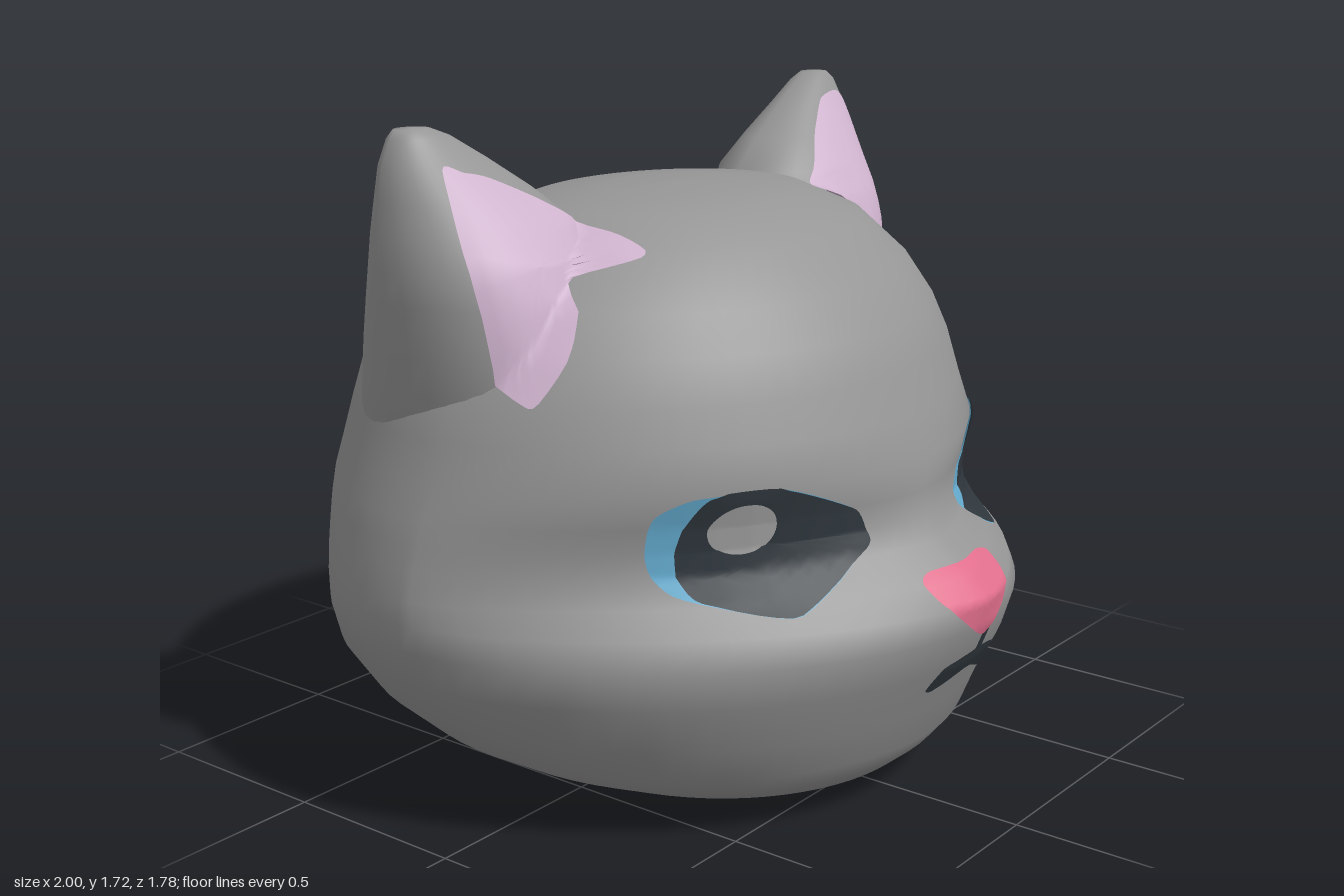
import * as THREE from 'three';

const flat = (name, color, side = THREE.FrontSide) => {
  const m = new THREE.MeshStandardMaterial({ color, side });
  m.name = name;
  return m;
};

// Closed loft of superellipse sections: [y, halfWidth, frontZ, backZ, centreZ, frontPower]
function loft(rows, { cx = () => 0, skew = 0, backPower = 2.05, seg = 72 } = {}) {
  const pos = [], idx = [];
  rows.forEach(([y, w, zf, zb, zc, p], i) => {
    for (let j = 0; j < seg; j++) {
      const a = (j / seg) * Math.PI * 2, c = Math.cos(a), s = Math.sin(a);
      const e = 2 / (s >= 0 ? p : backPower);
      const x = w * Math.sign(c) * Math.abs(c) ** e;
      const z = zc + (s >= 0 ? zf - zc : zb - zc) * Math.abs(s) ** e;
      pos.push(cx(i) + x, y, z + skew * x);
      if (i < rows.length - 1) {
        const k = (j + 1) % seg, A = i * seg + j, B = i * seg + k;
        idx.push(A, A + seg, B, B, A + seg, B + seg);
      }
    }
  });
  const g = new THREE.BufferGeometry();
  g.setAttribute('position', new THREE.Float32BufferAttribute(pos, 3));
  g.setIndex(idx);
  g.computeVertexNormals();
  return g;
}

// Thin patch with the given front outline, laid on the target surfaces
function patch(outline, targets, lift, tension = 0.3) {
  const pts = new THREE.CatmullRomCurve3(outline.map(([x, y]) => new THREE.Vector3(x, y, 0)),
    true, 'catmullrom', tension).getPoints(56).slice(0, -1);
  const mid = new THREE.Vector3();
  outline.forEach(([x, y]) => mid.add(new THREE.Vector3(x, y, 0)));
  mid.divideScalar(outline.length);
  const ray = new THREE.Raycaster(), dir = new THREE.Vector3(0, 0, -1);
  const pos = [], idx = [], rings = 8, n = pts.length;
  let last = new THREE.Vector3();
  for (let r = 0; r <= rings; r++) {
    for (let j = 0; j < n; j++) {
      const q = mid.clone().lerp(pts[j], r / rings);
      ray.set(new THREE.Vector3(q.x, q.y, 3), dir);
      const hit = ray.intersectObjects(targets)[0];
      if (hit) last = hit.point.clone().addScaledVector(hit.face.normal, lift);
      else last = new THREE.Vector3(q.x, q.y, last.z);
      pos.push(last.x, last.y, last.z);
      if (r < rings) {
        const k = (j + 1) % n, A = r * n + j, B = r * n + k;
        if (r > 0) idx.push(A, A + n, B);
        idx.push(B, A + n, B + n);
      }
    }
  }
  const g = new THREE.BufferGeometry();
  g.setAttribute('position', new THREE.Float32BufferAttribute(pos, 3));
  g.setIndex(idx);
  g.computeVertexNormals();
  return g;
}

const oval = (x, y, rx, ry) => Array.from({ length: 10 }, (_, i) => {
  const a = (i / 10) * Math.PI * 2;
  return [x + rx * Math.cos(a), y + ry * Math.sin(a)];
});

export function createModel() {
  const group = new THREE.Group();
  const two = THREE.DoubleSide;
  const fur = flat('grey fur', 0x969696);
  const earPink = flat('ear pink', 0xd0b4cf, two);
  const nosePink = flat('nose pink', 0xe06e8c, two);
  const dark = flat('dark', 0x2f373d, two);
  const blue = flat('iris blue', 0x66aed2, two);
  const shine = flat('eye shine', 0xa2a2a2, two);
  const add = (name, geo, mat) => {
    const m = new THREE.Mesh(geo, mat);
    m.name = name;
    group.add(m);
    return m;
  };

  // Head: flat chin, wide cheeks, pointed muzzle, domed skull
  const head = add('head', loft([
    [0, 0, 0.1, 0.1, 0.1, 2],
    [0.006, 0.33, 0.3, -0.12, 0.1, 2],
    [0.06, 0.55, 0.62, -0.5, 0.05, 2],
    [0.11, 0.67, 0.68, -0.66, 0, 1.95],
    [0.17, 0.77, 0.73, -0.75, -0.05, 1.9],
    [0.27, 0.87, 0.77, -0.85, -0.1, 1.85],
    [0.4, 0.96, 0.84, -0.88, -0.13, 1.78],
    [0.5, 0.995, 0.88, -0.88, -0.13, 1.7],
    [0.57, 1, 0.89, -0.875, -0.13, 1.54],
    [0.63, 0.995, 0.84, -0.875, -0.13, 1.42],
    [0.7, 0.98, 0.75, -0.88, -0.13, 1.46],
    [0.76, 0.965, 0.71, -0.885, -0.13, 1.55],
    [0.82, 0.95, 0.705, -0.88, -0.13, 1.62],
    [0.9, 0.92, 0.7, -0.865, -0.13, 1.8],
    [1, 0.89, 0.66, -0.84, -0.13, 1.82],
    [1.1, 0.86, 0.625, -0.81, -0.13, 1.84],
    [1.2, 0.8, 0.58, -0.775, -0.13, 1.88],
    [1.3, 0.72, 0.5, -0.72, -0.12, 1.95],
    [1.42, 0.56, 0.38, -0.61, -0.1, 2],
    [1.485, 0.41, 0.23, -0.42, -0.1, 2],
    [1.505, 0.2, 0.08, -0.24, -0.1, 2],
    [1.51, 0, -0.1, -0.1, -0.1, 2],
  ]), fur);

  // Ears: [y, innerX, outerX, frontZ, backZ]
  const earRows = [
    [0.95, 0.5, 0.85, 0.02, -0.5], [1.03, 0.46, 0.872, 0.07, -0.5],
    [1.1, 0.43, 0.885, 0.1, -0.49], [1.2, 0.39, 0.9, 0.11, -0.47],
    [1.32, 0.37, 0.915, 0.09, -0.43], [1.4, 0.38, 0.92, 0.06, -0.4],
    [1.48, 0.4, 0.918, 0.01, -0.37], [1.56, 0.5, 0.912, -0.05, -0.33],
    [1.64, 0.62, 0.905, -0.11, -0.29], [1.7, 0.72, 0.88, -0.15, -0.265],
    [1.72, 0.77, 0.86, -0.175, -0.25], [1.724, 0.815, 0.815, -0.21, -0.21],
  ];
  const ears = [1, -1].map((s) => add(s > 0 ? 'leftEar' : 'rightEar', loft(
    earRows.map(([y, xi, xo, zf, zb]) => [y, (xo - xi) / 2, zf, zb, zf * 0.45 + zb * 0.55, 2.3]),
    { cx: (i) => s * (earRows[i][1] + earRows[i][2]) / 2, skew: -0.08 * s, backPower: 1.8, seg: 40 },
  ), fur));
  const skin = [head, ...ears];
  const paint = (name, outline, lift, mat, tension) =>
    add(name, patch(outline, skin, lift, tension), mat);

  // Inner ears
  paint('leftInnerEar', [[0.72, 1.655], [0.8, 1.67], [0.84, 1.64], [0.852, 1.45], [0.83, 1.1],
    [0.76, 1.11], [0.68, 1.26], [0.54, 1.39], [0.49, 1.45], [0.54, 1.5], [0.61, 1.57]], 0.006, earPink);
  paint('rightInnerEar', [[-0.82, 1.63], [-0.77, 1.62], [-0.7, 1.6], [-0.5, 1.5], [-0.44, 1.45],
    [-0.46, 1.41], [-0.6, 1.36], [-0.69, 1.23], [-0.79, 1.1], [-0.81, 1.14], [-0.84, 1.4]], 0.006, earPink);

  // Eyes: iris plate, dark pupil, shine
  const eye = [[0.2, 0.75], [0.235, 0.82], [0.42, 0.9], [0.6, 0.895], [0.665, 0.85],
    [0.67, 0.74], [0.635, 0.655], [0.45, 0.6], [0.22, 0.715]];
  paint('leftIris', eye, 0.004, blue);
  paint('rightIris', eye.map(([x, y]) => [-x, y]), 0.004, blue);
  paint('leftPupil', [[0.235, 0.78], [0.25, 0.83], [0.42, 0.9], [0.59, 0.895], [0.635, 0.87],
    [0.62, 0.8], [0.63, 0.74], [0.61, 0.65], [0.45, 0.6], [0.25, 0.69], [0.26, 0.73]], 0.008, dark);
  paint('rightPupil', [[-0.2, 0.75], [-0.235, 0.82], [-0.42, 0.9], [-0.57, 0.897], [-0.61, 0.82],
    [-0.62, 0.75], [-0.605, 0.645], [-0.45, 0.6], [-0.22, 0.715]], 0.008, dark);
  paint('leftShine', oval(0.545, 0.82, 0.08, 0.062), 0.012, shine, 0.5);
  paint('rightShine', oval(-0.495, 0.81, 0.07, 0.065), 0.012, shine, 0.5);

  // Nose and mouth
  paint('nose', [[-0.145, 0.63], [-0.1, 0.65], [0.1, 0.65], [0.175, 0.63], [0.18, 0.59],
    [0.1, 0.52], [0.02, 0.475], [-0.05, 0.51], [-0.13, 0.58]], 0.005, nosePink);
  paint('mouthStem', [[0.018, 0.49], [0.05, 0.49], [0.05, 0.4], [0.018, 0.4]], 0.004, dark, 0.05);
  paint('mouth', [[-0.13, 0.355], [-0.1, 0.41], [0, 0.43], [0.06, 0.43], [0.14, 0.41], [0.16, 0.365],
    [0.13, 0.338], [0.07, 0.372], [-0.03, 0.375], [-0.1, 0.343]], 0.004, dark);

  return group;
}
